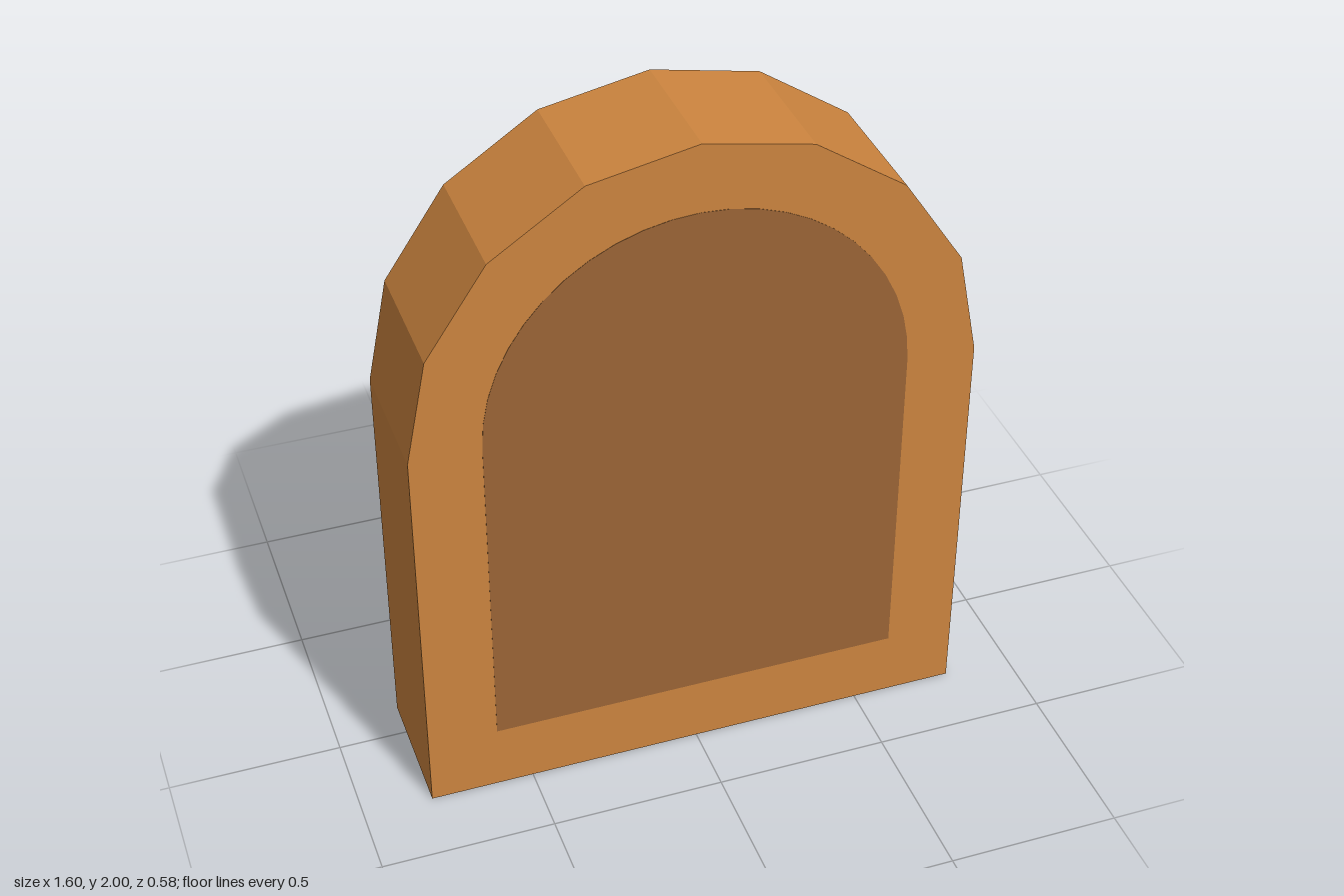
import * as THREE from 'three';

const mat = (color) => new THREE.MeshStandardMaterial({ color, flatShading: true });

// Straight-sided arch outline: half width r, springing at y = 1.2
function traceArch(path, r, base) {
  path.moveTo(-r, base);
  path.lineTo(r, base);
  path.lineTo(r, 1.2);
  path.absarc(0, 1.2, r, 0, Math.PI, false);
  path.lineTo(-r, base);
  return path;
}

function extrude(shape, depth, curveSegments) {
  return new THREE.ExtrudeGeometry(shape, { depth, curveSegments, bevelEnabled: false });
}

// Ten-sided oval ring with a diamond section
function ringGeometry() {
  const quarter = [[0, 1], [0.713, 0.77], [1, 0.26]];
  const mirrored = (sx, sy) => quarter.map(([x, y]) => [x * sx, y * sy]);
  const outline = [
    ...mirrored(-1, 1),
    ...mirrored(-1, -1).reverse(),
    ...mirrored(1, -1).slice(1),
    ...mirrored(1, 1).slice(1).reverse(),
  ];
  // half width, half height and z of each corner of the section
  const section = [[0.425, 0.54, 0], [0.268, 0.36, 0.18], [0.11, 0.18, 0], [0.268, 0.36, -0.18]];
  const n = outline.length, m = section.length;
  const positions = [], indices = [];
  for (const [x, y] of outline) {
    for (const [w, h, z] of section) positions.push(x * w, y * h, z);
  }
  for (let i = 0; i < n; i++) {
    for (let j = 0; j < m; j++) {
      const a = i * m + j, b = i * m + (j + 1) % m;
      const c = ((i + 1) % n) * m + (j + 1) % m, d = ((i + 1) % n) * m + j;
      indices.push(a, d, b, b, d, c);
    }
  }
  const geometry = new THREE.BufferGeometry();
  geometry.setAttribute('position', new THREE.Float32BufferAttribute(positions, 3));
  geometry.setIndex(indices);
  const flat = geometry.toNonIndexed();
  flat.computeVertexNormals();
  return flat;
}

export function createModel() {
  const model = new THREE.Group();
  const add = (name, geometry, material, y, z) => {
    const mesh = new THREE.Mesh(geometry, material);
    mesh.name = name;
    mesh.position.set(0, y, z);
    model.add(mesh);
  };

  // Faceted arched frame with a matching opening
  const frame = traceArch(new THREE.Shape(), 0.8, 0);
  frame.holes.push(traceArch(new THREE.Path(), 0.6, 0.2));
  add('frame', extrude(frame, 0.4, 4), mat(0xcd853f), 0, -0.11);

  // Panel filling the front half of the opening, with a rounder arch
  const panel = traceArch(new THREE.Shape(), 0.6, 0.2);
  add('panel', extrude(panel, 0.201, 12), mat(0x9b6536), 0, 0.09);

  // Oval ring handle on the back
  add('ringHandle', ringGeometry(), mat(0x0a0a0a), 1.04, -0.11);

  return model;
}
